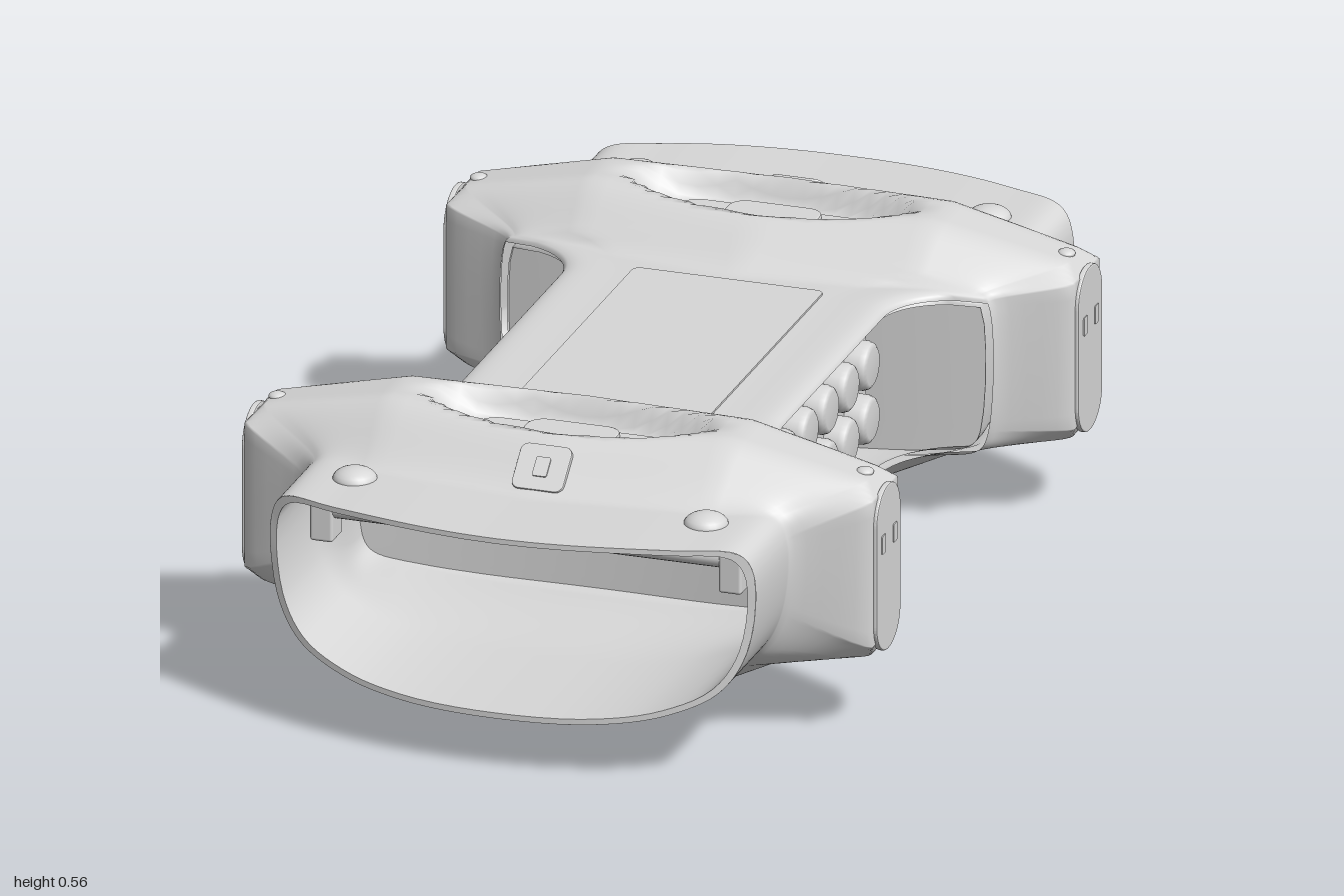
import * as THREE from 'three';
import { RoundedBoxGeometry } from 'three/addons/geometries/RoundedBoxGeometry.js';

const grey = new THREE.MeshStandardMaterial({ color: 0xd8d8d8, side: THREE.DoubleSide });
grey.name = 'lightGrey';

const COLLAR = 0.57;
// Half cross-sections, from top centre down the +x side to bottom centre
const END = [[0, .462], [.33, .462], [.445, .453], [.47, .41], [.458, .26], [.41, .18], [.32, .135], [.2, .112], [0, .105]];
const FLARE = [[0, .468], [.33, .468], [.45, .463], [.47, .45], [.47, .19], [.45, .155], [.38, .138], [.25, .125], [0, .122]];
const WAIST = [[0, .47], [.2, .47], [.3, .467], [.315, .455], [.315, .155], [.305, .14], [.27, .133], [.2, .13], [0, .128]];
const RIDGE = [[0, .55], [.33, .56], [.585, .505], [.612, .475], [.612, .19], [.595, .158], [.42, .125], [.21, .022], [0, .02]];
// Flat half width and falloff end of the ridge at each section point
const SPREAD = [[.075, .23], [.04, .2], [.03, .15], [.07, .14], [.07, .14], [.03, .15], [.03, .16], [.03, .15], [.03, .15]];

const step = (a, b, v) => THREE.MathUtils.smoothstep(v, a, b);
const mix = (p, q, t) => [p[0] + (q[0] - p[0]) * t, p[1] + (q[1] - p[1]) * t];

// One closed ring of the body at z; the inner skin ignores the ridge and is inset
function ring(z, count, inner) {
  const az = Math.abs(z), d = Math.abs(az - COLLAR);
  const t = Math.min(1, Math.max(0, (az - .28) / .14));
  const flare = 1 - Math.sqrt(1 - t * t);
  const half = END.map((e, j) => {
    const p = mix(mix(WAIST[j], FLARE[j], flare), e, step(.45, .7, az));
    return inner ? [p[0] * .97, .29 + (p[1] - .29) * .94] : p;
  });
  const pts = [...half, ...half.slice(1, -1).reverse().map(p => [-p[0], p[1]])];
  const curve = new THREE.CatmullRomCurve3(pts.map(p => new THREE.Vector3(p[0], p[1], 0)), true);
  const bow = .1 * step(.72, 1, az) * Math.sign(z);
  return Array.from({ length: count }, (_, k) => {
    const p = curve.getPoint(k / count);
    if (!inner) {
      // Blend towards the straight-sided ridge section
      const u = k / count * 16, v = u > 8 ? 16 - u : u;
      const j = Math.min(7, Math.floor(v));
      const r = mix(RIDGE[j], RIDGE[j + 1], v - j), s = mix(SPREAD[j], SPREAD[j + 1], v - j);
      const q = mix([Math.abs(p.x), p.y], r, 1 - step(s[0], s[1], d));
      p.set(u > 8 ? -q[0] : q[0], q[1], 0);
      // Oval handle recess on top of each ridge
      if (p.y > .5) p.y -= .055 * (1 - step(.72, .95, Math.hypot(p.x / .3, (az - COLLAR) / .1)));
    }
    p.z = z - bow * Math.min(1, (p.x / .47) ** 2);
    return p;
  });
}

// Skin a list of point rows; skip(i, k) leaves a hole
function skin(rows, closed, flip, skip = () => false) {
  const n = rows[0].length, index = [];
  for (let i = 0; i < rows.length - 1; i++) {
    for (let k = 0; k < (closed ? n : n - 1); k++) {
      if (skip(i, k)) continue;
      const a = i * n + k, b = i * n + (k + 1) % n, c = a + n, d = b + n;
      index.push(...(flip ? [a, b, c, b, d, c] : [a, c, b, b, c, d]));
    }
  }
  const g = new THREE.BufferGeometry().setFromPoints(rows.flat());
  g.setIndex(index);
  g.computeVertexNormals();
  return g;
}

function add(parent, name, geometry, x = 0, y = 0, z = 0) {
  const m = new THREE.Mesh(geometry, grey);
  m.name = name;
  m.position.set(x, y, z);
  parent.add(m);
  return m;
}

// Rounded rectangle plate lying in the xy plane, thickness along +z
function plate(w, h, r, depth, bevel = 0) {
  const s = new THREE.Shape(), x = w / 2 - bevel, y = h / 2 - bevel;
  r = Math.min(r, x, y) * .999;
  s.absarc(x - r, y - r, r, 0, Math.PI / 2);
  s.absarc(r - x, y - r, r, Math.PI / 2, Math.PI);
  s.absarc(r - x, r - y, r, Math.PI, Math.PI * 1.5);
  s.absarc(x - r, r - y, r, Math.PI * 1.5, Math.PI * 2);
  return new THREE.ExtrudeGeometry(s, {
    depth, curveSegments: 8, bevelEnabled: bevel > 0, bevelSize: bevel, bevelThickness: bevel, bevelSegments: 2,
  });
}

export function createModel() {
  const model = new THREE.Group();
  model.name = 'carryingBody';

  // Outer and inner shell with a window on each side of the waist
  const zs = Array.from({ length: 201 }, (_, i) => -1 + i * .01);
  const windowHole = per => (i, k) =>
    [3, 4, 11, 12].includes(Math.floor(k / per)) && Math.abs(zs[i] + .005) < .42;
  const outer = zs.map(z => ring(z, 160, false));
  add(model, 'outerShell', skin(outer, true, false, windowHole(10)));
  const inner = zs.map(z => ring(z, 80, true));
  add(model, 'innerShell', skin(inner, true, true, windowHole(5)));

  for (const z of [1, -1]) {
    add(model, 'openingRim', skin([ring(z, 80, false), ring(z, 80, true)], true, z < 0));

    // Bowed wall closing the end compartment
    const edge = ring(z * .43, 80, true).slice(0, 41);
    const wall = edge.map(p => Array.from({ length: 17 }, (_, i) => {
      const x = p.x * (1 - i / 8);
      return new THREE.Vector3(x, p.y, z * (.4 + .03 * (x / .46) ** 2));
    }));
    add(model, 'compartmentWall', skin(wall, false, z < 0));
  }

  // Cell pack seen through the side windows
  add(model, 'cellPack', new RoundedBoxGeometry(.5, .255, .79, 4, .03), 0, .302, 0);
  const cellProfile = [[.047, 0], [.047, .03], [.043, .04], [.036, .045], [0, .045]].map(p => new THREE.Vector2(...p));
  const cell = new THREE.LatheGeometry(cellProfile, 24);
  for (const side of [1, -1]) {
    for (let i = 0; i < 6; i++) {
      for (const y of [.245, .352]) {
        add(model, 'cell', cell, side * .248, y, -.288 + i * .1152).rotation.z = -side * Math.PI / 2;
      }
    }
    // Thin posts between pack and shell
    for (const z of [-.12, .12]) add(model, 'packPost', new THREE.BoxGeometry(.01, .31, .008), side * .2, .297, z);
  }

  // Top panel of the waist
  add(model, 'topPanel', plate(.37, .65, .015, .005), 0, .469, 0).rotation.x = -Math.PI / 2;

  // Fittings repeated at both ends
  for (const dir of [1, -1]) {
    const end = new THREE.Group();
    end.name = dir > 0 ? 'frontFittings' : 'backFittings';
    end.rotation.y = dir > 0 ? 0 : Math.PI;
    model.add(end);

    // Recessed grip
    add(end, 'gripInsert', plate(.37, .08, .04, .008, .004), 0, .494, COLLAR).rotation.x = -Math.PI / 2;
    add(end, 'gripCentre', plate(.18, .085, .03, .014, .004), 0, .496, COLLAR).rotation.x = -Math.PI / 2;

    // Latch set into the slope of the ridge
    const latch = add(end, 'latch', plate(.1, .095, .014, .008, .002), 0, .496, .73);
    latch.rotation.x = -Math.PI / 2 + .72;
    add(latch, 'latchButton', plate(.028, .04, .004, .003), 0, 0, .01);

    // Foot pad
    add(end, 'footPad', plate(.36, .06, .03, .03, .005), 0, .035, COLLAR).rotation.x = Math.PI / 2;
    add(end, 'footRim', plate(.39, .085, .042, .012, .004), 0, .034, COLLAR).rotation.x = Math.PI / 2;

    // Cross bar inside the opening
    const bar = add(end, 'crossBar', new THREE.CylinderGeometry(.022, .022, .78, 16), 0, .402, .8);
    bar.rotation.z = Math.PI / 2;
    bar.scale.z = 1.3;

    for (const side of [1, -1]) {
      add(end, 'barBracket', new RoundedBoxGeometry(.045, .075, .06, 2, .006), side * .398, .376, .8);
      add(end, 'domeStud', new THREE.SphereGeometry(.042, 24, 12), side * .342, .46, .8).scale.y = .55;
      add(end, 'armButton', new THREE.SphereGeometry(.017, 16, 10), side * .572, .507, COLLAR).scale.y = .5;

      // Arm end cap with two slots
      const cap = add(end, 'armCap', plate(.135, .325, .062, .006, .003), side * .61, .325, COLLAR);
      cap.rotation.y = side * Math.PI / 2;
      for (const x of [-.032, .032]) add(cap, 'capSlot', plate(.02, .036, .003, .002), x, .056, .009);
    }
  }
  return model;
}
